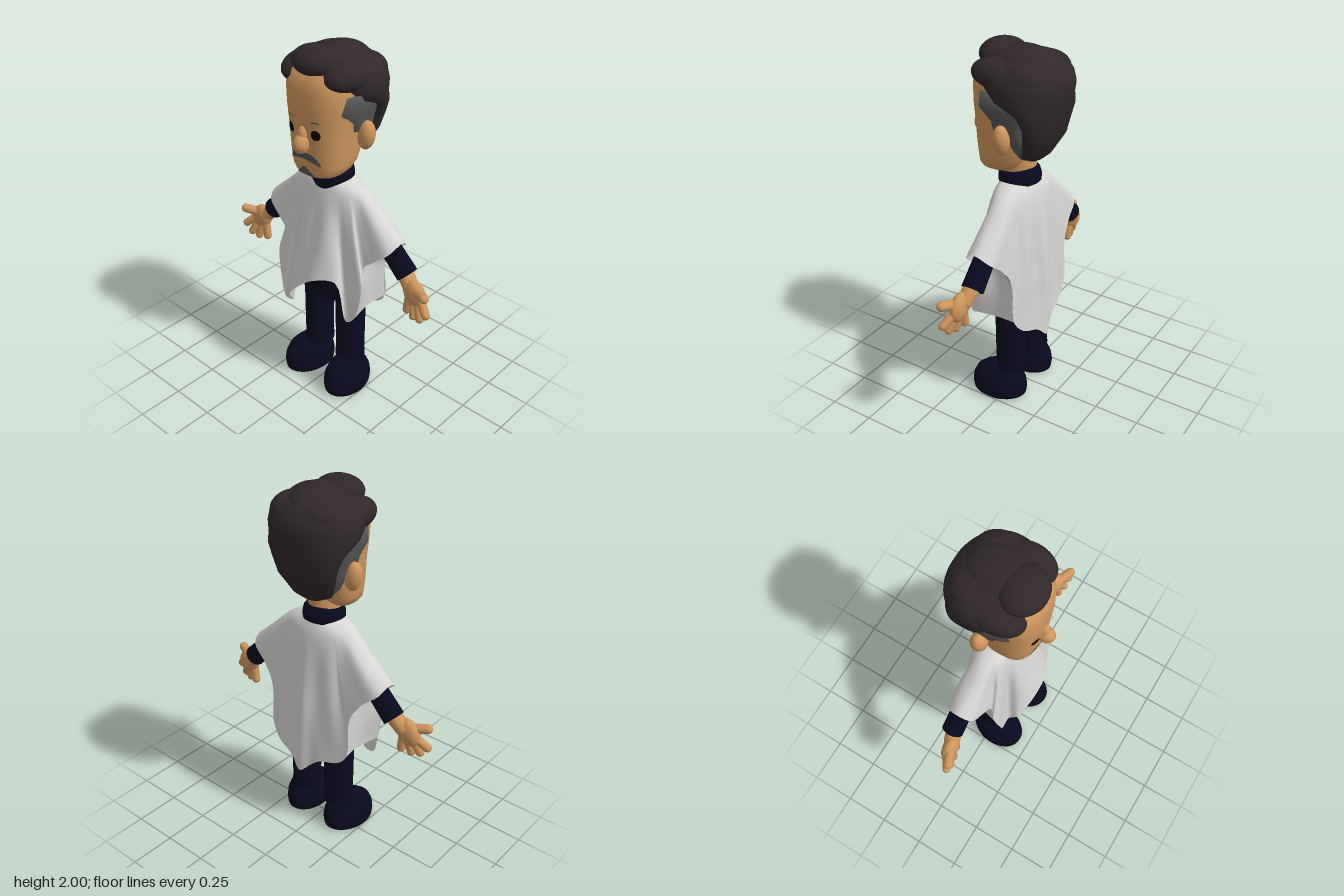
import * as THREE from 'three';

const mat = (name, color, side = THREE.FrontSide) => {
  const m = new THREE.MeshStandardMaterial({ color, side });
  m.name = name;
  return m;
};
const V = (x, y, z) => new THREE.Vector3(x, y, z);

// Grid of points (rows x n) to a smooth surface; rows run upwards, columns from +x to +z
function gridGeometry(rows, closed) {
  const n = rows[0].length, pos = [], idx = [];
  rows.forEach(r => r.forEach(p => pos.push(p.x, p.y, p.z)));
  for (let i = 0; i < rows.length - 1; i++) {
    for (let j = 0; j < (closed ? n : n - 1); j++) {
      const a = i * n + j, b = i * n + (j + 1) % n;
      idx.push(a, a + n, b, b, a + n, b + n);
    }
  }
  const g = new THREE.BufferGeometry();
  g.setAttribute('position', new THREE.Float32BufferAttribute(pos, 3));
  g.setIndex(idx);
  g.computeVertexNormals();
  return g;
}

// Cross-sections: [y, half width, centre z, front depth, back depth]
const sectionPoint = ([y, w, zc, f, b], a, e) => {
  const c = Math.cos(a), s = Math.sin(a), k = 2 / e;
  return V(w * Math.sign(c) * Math.abs(c) ** k, y, zc + (s > 0 ? f : b) * Math.sign(s) * Math.abs(s) ** k);
};
function loft(sections, e = 2.6, n = 48) {
  const first = sections[0], last = sections[sections.length - 1];
  const all = [[first[0], 0, first[2], 0, 0], ...sections, [last[0], 0, last[2], 0, 0]];
  return gridGeometry(all.map(s => Array.from({ length: n }, (_, j) => sectionPoint(s, j / n * Math.PI * 2, e))), true);
}

const HEAD = [
  [1.345, .09, .09, .08, .07], [1.36, .125, .08, .11, .09], [1.385, .148, .07, .125, .11], [1.42, .16, .05, .15, .12],
  [1.5, .17, .03, .178, .13], [1.6, .175, .02, .195, .15], [1.7, .186, .02, .2, .17],
  [1.8, .197, .02, .195, .19], [1.88, .175, .01, .18, .17], [1.94, .08, 0, .1, .1]];

// Depth of the face surface at x, y
function faceZ(x, y) {
  let i = 0;
  while (i < HEAD.length - 2 && HEAD[i + 1][0] < y) i++;
  const t = THREE.MathUtils.clamp((y - HEAD[i][0]) / (HEAD[i + 1][0] - HEAD[i][0]), 0, 1);
  const [, w, zc, f] = HEAD[i].map((v, k) => v + (HEAD[i + 1][k] - v) * t);
  return zc + f * Math.max(0, 1 - Math.min(1, Math.abs(x) / w) ** 2.6) ** (1 / 2.6);
}
// Thin plate lying on the face between two curves of u in -1..1
function facePatch(cx, halfWidth, low, high) {
  const rows = [];
  for (let i = 0; i <= 8; i++) {
    rows.push(Array.from({ length: 25 }, (_, j) => {
      const u = 1 - j / 12, y = low(u) + (high(u) - low(u)) * i / 8, x = cx + u * halfWidth;
      return V(x, y, faceZ(x, y) + .006);
    }));
  }
  return gridGeometry(rows, false);
}

// Hem of the poncho, from the left sleeve round the front, right sleeve and back
const HEM = [
  [.44, 1.04, -.02], [.42, 1, .05], [.33, .92, .07], [.28, .87, .08], [.3, .77, .11], [.27, .57, .13],
  [.22, .53, .14], [.17, .77, .17], [.06, .76, .22], [-.03, .69, .22], [-.1, .62, .205], [-.16, .54, .18],
  [-.18, .47, .13], [-.24, .46, .13], [-.27, .57, .13], [-.3, .77, .11], [-.28, .87, .08], [-.33, .92, .07], [-.42, 1, .05],
  [-.44, 1.04, -.02], [-.42, 1, -.09], [-.33, .92, -.11], [-.27, .82, -.12], [-.26, .58, -.13],
  [-.21, .52, -.14], [-.1, .49, -.165], [-.04, .44, -.17], [.02, .39, -.19], [.09, .45, -.17],
  [.2, .5, -.15], [.26, .58, -.13], [.27, .82, -.12], [.33, .92, -.11], [.42, 1, -.09]];

function ponchoGeometry() {
  const n = 170, rows = 22;
  const hem = new THREE.CatmullRomCurve3(HEM.map(p => V(...p)), true).getPoints(n).slice(0, n);
  const threads = hem.map(h => {
    const a = Math.atan2(h.z * 2.2, h.x), c = Math.cos(a), s = Math.sin(a);
    const neck = V(.085 * c, 1.305, .085 * s - .005);
    const shoulder = V(.2 * c, 1.215 + .04 * c * c, .115 * s - .01);
    const fold = .01 * Math.sin(a * 11) * Math.abs(s);
    const middle = shoulder.clone().lerp(h, .5).add(V(fold * c, 0, fold * s + (s < 0 ? .012 * s : 0)));
    return new THREE.CatmullRomCurve3([neck, shoulder, middle, h]).getPoints(rows);
  });
  return gridGeometry(Array.from({ length: rows + 1 }, (_, i) => threads.map(t => t[rows - i])), true);
}

// Cloth under the arm, joining the front and back drapes; s is the side
function sidePanelGeometry(s) {
  const edge = points => new THREE.CatmullRomCurve3(points.map(([x, y, z]) => V(s * x, y, z))).getPoints(16);
  const back = edge([[.26, .58, -.13], [.262, .7, -.125], [.27, .82, -.12], [.33, .92, -.11]]);
  const middle = edge([[.235, .56, -.02], [.24, .7, -.02], [.24, .84, -.02], [.26, .95, -.02]]);
  const front = edge([[.27, .57, .13], [.3, .77, .11], [.28, .87, .08], [.33, .92, .07]]);
  return gridGeometry(back.map((b, i) => {
    const row = new THREE.CatmullRomCurve3([b, middle[i], front[i]]).getPoints(14);
    return s > 0 ? row : row.reverse();
  }), false);
}

export function createModel() {
  const root = new THREE.Group();
  root.name = 'figure';
  const skin = mat('skin', 0xcf965d), hair = mat('dark hair', 0x30282a), grey = mat('grey hair', 0x555555);
  const navy = mat('navy clothes', 0x09091f), cloth = mat('pale cloth', 0xd8d6d4, THREE.DoubleSide);
  const black = mat('eye black', 0x07070f);

  const add = (name, geo, material, x = 0, y = 0, z = 0) => {
    const m = new THREE.Mesh(geo, material);
    m.name = name;
    m.position.set(x, y, z);
    root.add(m);
    return m;
  };
  const ball = (name, material, [x, y, z], [rx, ry, rz]) => {
    const m = add(name, new THREE.SphereGeometry(1, 28, 20), material, x, y, z);
    m.scale.set(rx, ry, rz);
    return m;
  };
  // Rounded or straight limb between two points
  const limb = (name, material, a, b, r, r2) => {
    const d = b.clone().sub(a), len = d.length();
    const geo = r2 ? new THREE.CylinderGeometry(r2, r, len, 24) : new THREE.CapsuleGeometry(r, len, 6, 14);
    const m = add(name, geo, material);
    m.position.copy(a).lerp(b, .5);
    m.quaternion.setFromUnitVectors(V(0, 1, 0), d.normalize());
    return m;
  };

  // Head and face
  add('head', loft(HEAD), skin);
  add('neck', new THREE.CylinderGeometry(.078, .082, .24, 32), skin, 0, 1.32, -.008);
  ball('nose', skin, [0, 1.54, .222], [.039, .052, .048]);
  ball('noseBridge', skin, [0, 1.578, .208], [.029, .055, .033]);
  const round = u => Math.sqrt(Math.max(0, 1 - u * u));
  for (const s of [1, -1]) {
    ball('ear', skin, [s * .2, 1.565, -.02], [.046, .078, .042]).rotation.z = -s * .15;
    add('eye', facePatch(s * .08, .024, u => 1.602 - .027 * round(u), u => 1.602 + .027 * round(u)), black);
    add('eyebrow', facePatch(s * .08, .02, u => 1.666 - .006 * u * u, u => 1.673 - .006 * u * u), grey);
  }
  add('moustache', facePatch(0, .097, u => 1.453 - .025 * u * u, u => 1.492 - .055 * u ** 4), grey);
  add('goatee', facePatch(0, .062, () => 1.35, u => 1.412 - .053 * Math.abs(u) ** 1.3), grey);

  // Hair: grey sides, dark cap and tufts
  add('greySides', loft([
    [1.44, .1, -.07, .02, .05], [1.5, .158, -.075, .035, .06], [1.57, .178, -.06, .07, .08],
    [1.59, .184, -.04, .15, .1], [1.64, .192, -.04, .16, .11],
    [1.7, .206, -.03, .21, .13], [1.79, .218, -.03, .19, .15]], 3), grey);
  add('hairCap', loft([
    [1.42, .06, -.09, .015, .04], [1.45, .12, -.085, .02, .08], [1.55, .175, -.125, .02, .1],
    [1.63, .198, -.14, .02, .1], [1.7, .222, -.125, .05, .135], [1.755, .24, -.07, .17, .19],
    [1.81, .246, -.05, .2, .22], [1.86, .238, -.05, .21, .205], [1.9, .21, -.05, .2, .175],
    [1.935, .16, -.04, .17, .14], [1.955, .09, -.03, .1, .09]], 2.1), hair);
  const tufts = [
    [-.01, 1.925, .1, .13, .074, .115], [.13, 1.87, .04, .1, .075, .14], [-.14, 1.852, .04, .095, .08, .145],
    [.01, 1.905, -.02, .14, .083, .18], [.11, 1.86, -.09, .11, .085, .13], [-.08, 1.87, -.09, .13, .08, .13]];
  tufts.forEach(([x, y, z, ...r]) => ball('hairTuft', hair, [x, y, z], r));

  // Clothes
  const collar = [[.078, -.05], [.106, -.04], [.112, -.01], [.108, .025], [.095, .045], [.08, .04]];
  add('collar', new THREE.LatheGeometry(collar.map(p => new THREE.Vector2(...p)), 40), navy, 0, 1.305, 0).rotation.x = .18;
  add('torso', loft([[.6, .175, 0, .13, .1], [.7, .17, 0, .12, .1], [.95, .15, 0, .095, .09],
    [1.15, .16, -.01, .08, .08], [1.25, .08, -.01, .06, .06]]), navy);
  add('poncho', ponchoGeometry(), cloth);

  const shoe = [[0, 0], [.1, 0], [.112, .012], [.116, .05], [.112, .09], [.098, .13], [.075, .157], [.04, .168], [0, .17]];
  const fingers = [
    [.525, .78, .515, .69, 0], [.55, .765, .568, .682, .015], [.578, .775, .615, .692, .025], [.595, .79, .653, .735, .03]];
  for (const s of [1, -1]) {
    add('ponchoSide', sidePanelGeometry(s), cloth);

    // Legs and shoes
    add('trouserLeg', new THREE.CylinderGeometry(.084, .08, .47, 32), navy, s * .117, .395, -.015);
    add('trouserCuff', new THREE.CylinderGeometry(.083, .083, .03, 32), navy, s * .117, .18, -.015);
    const foot = add('shoe', new THREE.LatheGeometry(shoe.map(p => new THREE.Vector2(...p)), 40), navy, s * .145, 0, .04);
    foot.scale.z = 1.38;
    foot.rotation.y = s * .12;

    // Arms and open hands
    limb('sleeve', navy, V(s * .19, 1.17, -.02), V(s * .482, .873, -.03), .05, .058);
    limb('wrist', skin, V(s * .47, .885, -.025), V(s * .525, .825, -.012), .043);
    const palm = ball('palm', skin, [s * .555, .805, -.003], [.064, .08, .04]);
    palm.rotation.z = s * .6;
    fingers.forEach(([x0, y0, x1, y1, z]) => limb('finger', skin, V(s * x0, y0, 0), V(s * x1, y1, z), .023));
    limb('thumb', skin, V(s * .555, .825, 0), V(s * .643, .84, .04), .026);
  }
  return root;
}
